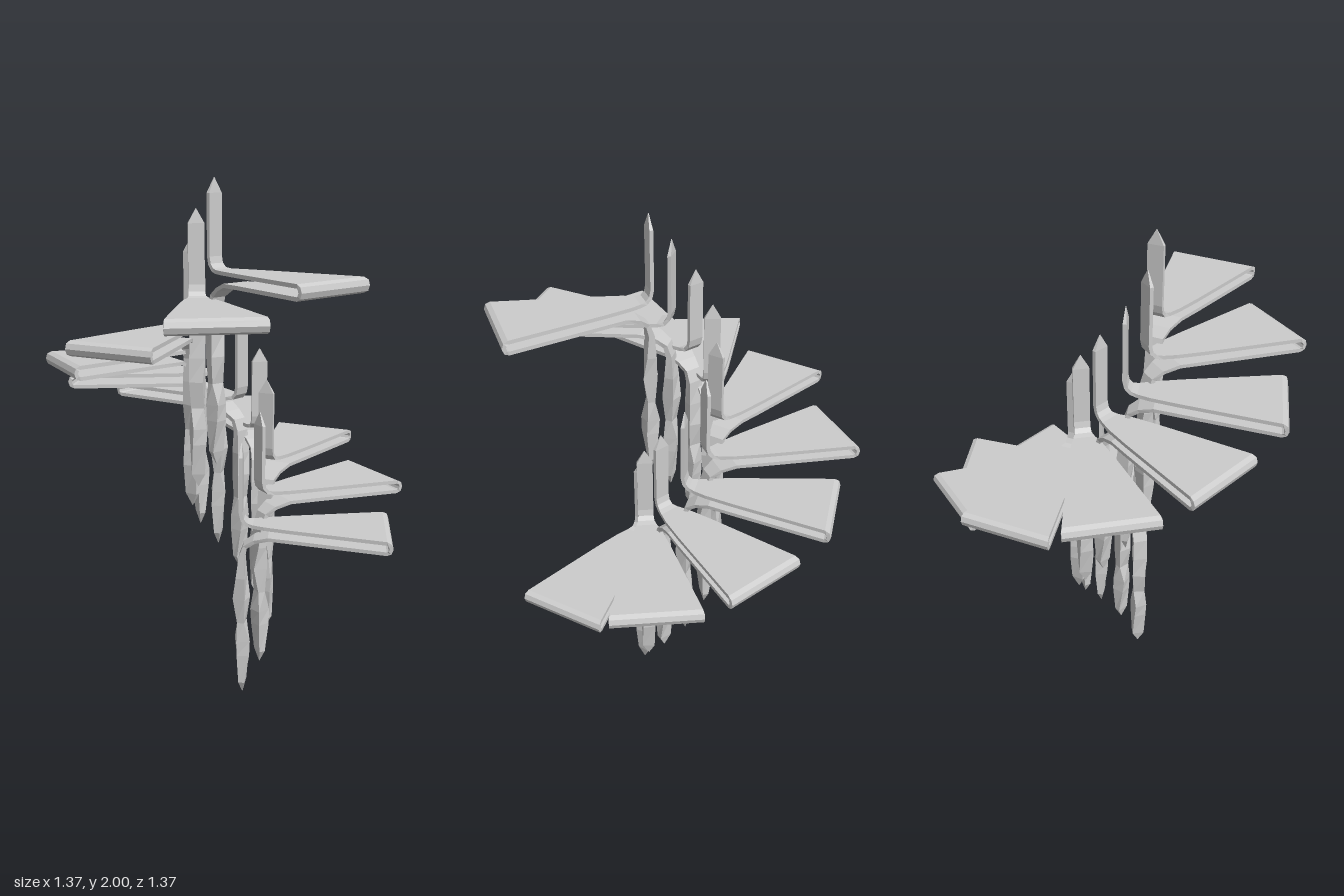
import * as THREE from 'three';

const STEPS = 10, TURN = THREE.MathUtils.degToRad(35.5), RISE = 0.1066;
const T = 0.007; // half thickness of the folded strip

// Each row: x, y, half thickness, half width, twist
const spike = [
  [0.058, 0.34, 0.001, 0.001],
  [0.058, 0.288, T, 0.03],
  [0.058, 0.07, T, 0.03],
  [0.064, 0.043, T, 0.03],
  [0.08, 0.025, T, 0.032],
  [0.105, 0.02, T, 0.04],
];
const treadTop = [[0.15, 0.02, T, 0.057], [0.25, 0.02, T, 0.083], [0.603, 0.02, T, 0.163]];
const fold = [45, 0, -45].map(d => {
  const a = THREE.MathUtils.degToRad(d);
  return [0.603 + 0.017 * Math.cos(a), 0.02 * Math.sin(a), T, 0.167];
});
const treadBottom = [
  [0.603, -0.02, T, 0.163],
  [0.25, -0.02, T, 0.083],
  [0.165, -0.022, T, 0.06],
  [0.11, -0.042, T, 0.04],
  [0.075, -0.068, T + 0.002, 0.03],
  [0.062, -0.11, 0.011, 0.029],
];
const tail = [
  [0.06, -0.2, 0.018, 0.03, 0.1],
  [0.06, -0.29, 0.026, 0.026, 0.35],
  [0.062, -0.39, 0.014, 0.024, 0.15],
  [0.064, -0.47, 0.027, 0.026, -0.2],
  [0.066, -0.53, 0.025, 0.026, -0.1],
  [0.065, -0.65, 0.012, 0.025, 0.1],
  [0.065, -0.7, 0.001, 0.001, 0],
];

// Rectangular cross-sections standing across the path
function makeRings(rows) {
  return rows.map(([x, y, ht, hw, twist = 0], i) => {
    const p = rows[Math.max(i - 1, 0)], q = rows[Math.min(i + 1, rows.length - 1)];
    const t = new THREE.Vector2(q[0] - p[0], q[1] - p[1]).normalize();
    const c = Math.cos(twist), s = Math.sin(twist);
    return [[1, 1], [-1, 1], [-1, -1], [1, -1]].map(([a, b]) => {
      const n = a * ht * c - b * hw * s, w = a * ht * s + b * hw * c;
      return [x - t.y * n, y + t.x * n, w];
    });
  });
}

// Skin between successive cross-sections
function skin(rings) {
  const pos = [];
  for (let i = 0; i < rings.length - 1; i++) {
    for (let k = 0; k < 4; k++) {
      const m = (k + 1) % 4, a = rings[i], b = rings[i + 1];
      pos.push(...a[k], ...a[m], ...b[m], ...a[k], ...b[m], ...b[k]);
    }
  }
  const g = new THREE.BufferGeometry();
  g.setAttribute('position', new THREE.Float32BufferAttribute(pos, 3));
  g.computeVertexNormals();
  return g;
}

export function createModel() {
  const model = new THREE.Group();
  model.name = 'spiralStair';
  const material = new THREE.MeshStandardMaterial({ color: 0xcccccc, flatShading: true });

  // One continuous strip: spike, folded tread, faceted tail
  const rings = makeRings([...spike, ...treadTop, ...fold, ...treadBottom, ...tail]);
  const a = spike.length - 1;
  const b = spike.length + treadTop.length + fold.length + treadBottom.length - 1;
  const parts = {
    upperSpike: skin(rings.slice(0, a + 1)),
    foldedTread: skin(rings.slice(a, b + 1)),
    lowerTail: skin(rings.slice(b)),
  };

  // Repeat the step up the spiral
  for (let i = 0; i < STEPS; i++) {
    const step = new THREE.Group();
    step.name = `step${i + 1}`;
    for (const [name, geometry] of Object.entries(parts)) {
      const mesh = new THREE.Mesh(geometry, material);
      mesh.name = name;
      mesh.position.z = 0.13; // the strip sits off the spiral's axis
      step.add(mesh);
    }
    step.position.y = 0.7 + RISE * i;
    step.rotation.y = TURN * i;
    model.add(step);
  }
  return model;
}
